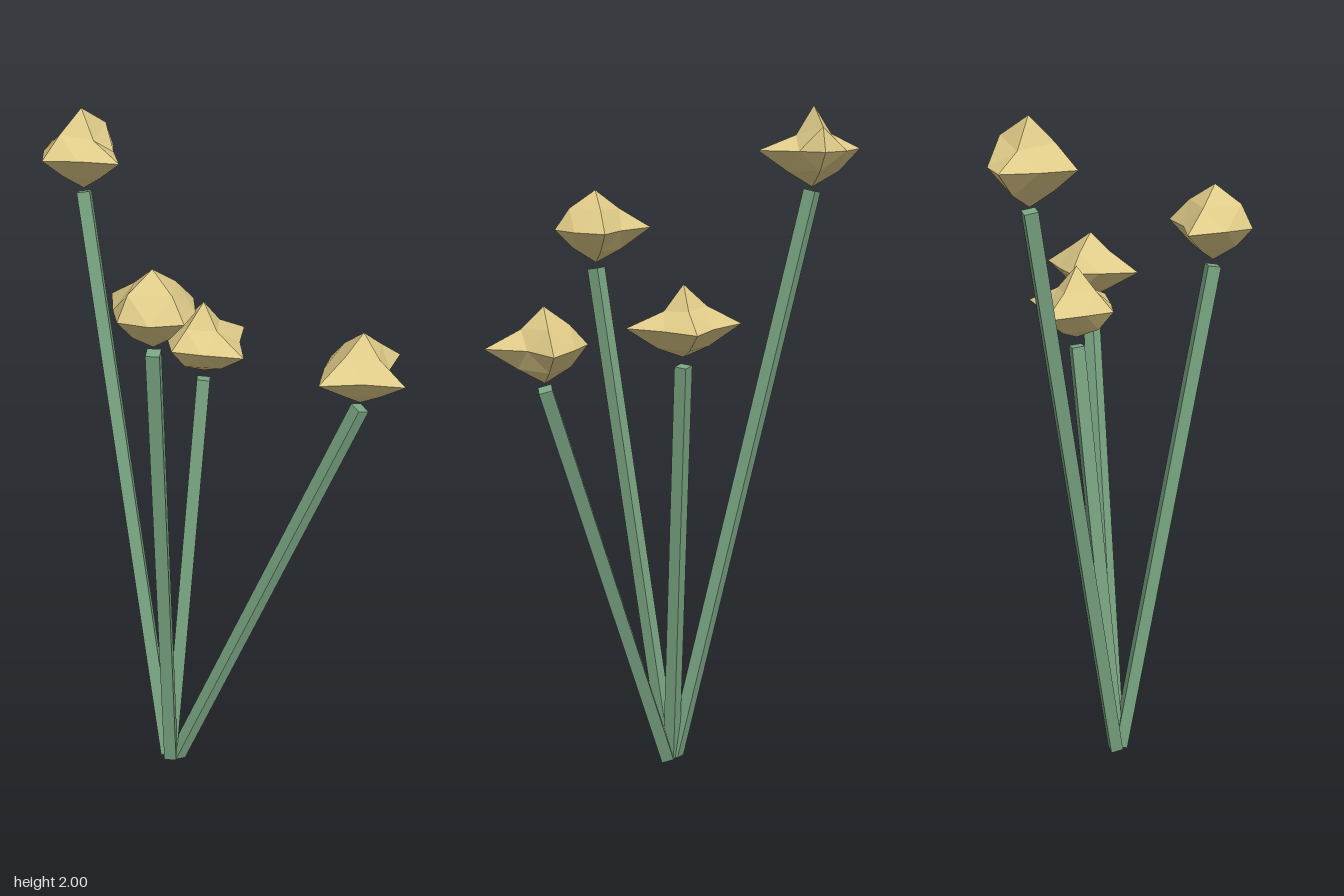
import * as THREE from 'three';

const stemMaterial = new THREE.MeshStandardMaterial({ color: 0x7aa683, flatShading: true });
const bloomMaterial = new THREE.MeshStandardMaterial({ color: 0xdfcb88, flatShading: true });

// tips: reach along +x -x +y -y +z -z
// rim: stretch of the level corners (+x+z, +x-z, -x+z, -x-z)
// upper, lower: stretch of the sloping corners (+x, -x, +z, -z)
const flowers = [
  {
    name: 'tallFlower', centre: [-0.047, 1.876, -0.428], base: [-0.088, 0.01, -0.034], twist: 0.1,
    tips: [0.11, 0.142, 0.124, 0.106, 0.164, 0.143], rim: [0.84, 1.02, 0.95, 1.06],
    upper: [1.18, 1.08, 0.72, 0.75], lower: [0.95, 1, 1.05, 1.1],
  },
  {
    name: 'leftLeaningFlower', centre: [-0.286, 1.638, 0.161], base: [-0.092, 0.01, -0.012], twist: Math.PI / 4,
    tips: [0.139, 0.118, 0.114, 0.1, 0.123, 0.167], rim: [1.05, 0.86, 1.03, 0.98],
    upper: [1.08, 1.13, 1.08, 1], lower: [1, 0.95, 0.95, 1.06],
  },
  {
    name: 'middleFlower', centre: [0.051, 1.4, -0.022], base: [-0.085, 0.01, -0.02], twist: 0,
    tips: [0.157, 0.12, 0.119, 0.09, 0.167, 0.171], rim: [0.98, 0.96, 0.98, 0.98],
    upper: [0.85, 0.9, 0.78, 0.95], lower: [1, 1, 1.05, 1.05],
  },
  {
    name: 'frontFlower', centre: [0.246, 1.4, 0.407], base: [-0.072, 0.01, -0.003], twist: 0,
    tips: [0.154, 0.168, 0.108, 0.1, 0.16, 0.118], rim: [0.72, 0.95, 0.96, 0.98],
    upper: [0.98, 0.96, 0.85, 0.96], lower: [1, 1, 1, 1],
  },
];

// Faceted bloom: a once-divided octahedron with every corner pulled in or out
function createBloom({ tips, rim, upper, lower }) {
  const geometry = new THREE.OctahedronGeometry(1, 1);
  const points = geometry.attributes.position;
  for (let i = 0; i < points.count; i++) {
    const [x, y, z] = [points.getX(i), points.getY(i), points.getZ(i)].map(
      (v) => (Math.abs(v) < 0.1 ? 0 : Math.sign(v)));
    const sides = Math.abs(x) + Math.abs(y) + Math.abs(z);
    if (sides === 1) {
      const reach = x ? tips[x > 0 ? 0 : 1] : y ? tips[y > 0 ? 2 : 3] : tips[z > 0 ? 4 : 5];
      points.setXYZ(i, x * reach, y * reach, z * reach);
    } else if (y === 0) {
      const s = 0.074 * rim[(x > 0 ? 0 : 2) + (z > 0 ? 0 : 1)];
      points.setXYZ(i, x * s, 0, z * s);
    } else {
      const s = (y > 0 ? upper : lower)[x ? (x > 0 ? 0 : 1) : (z > 0 ? 2 : 3)];
      points.setXYZ(i, x * 0.072 * s, y * 0.058 * s, z * 0.072 * s);
    }
  }
  geometry.computeVertexNormals();
  return new THREE.Mesh(geometry, bloomMaterial);
}

// Square stem with one edge turned towards its lean
function createStem(from, to, twist) {
  const length = from.distanceTo(to);
  const geometry = new THREE.CylinderGeometry(0.0265, 0.0265, length, 4);
  geometry.rotateY(twist).rotateX(Math.PI / 2);
  const stem = new THREE.Mesh(geometry, stemMaterial);
  stem.position.copy(from).lerp(to, 0.5);
  stem.lookAt(to);
  return stem;
}

export function createModel() {
  const model = new THREE.Group();
  model.name = 'flowerBunch';
  for (const spec of flowers) {
    const flower = new THREE.Group();
    flower.name = spec.name;

    const centre = new THREE.Vector3(...spec.centre);
    const stemTop = centre.clone();
    stemTop.y -= 0.116;
    const stem = createStem(new THREE.Vector3(...spec.base), stemTop, spec.twist);
    stem.name = 'stem';

    const bloom = createBloom(spec);
    bloom.name = 'bloom';
    bloom.position.copy(centre);

    flower.add(stem, bloom);
    model.add(flower);
  }
  return model;
}
